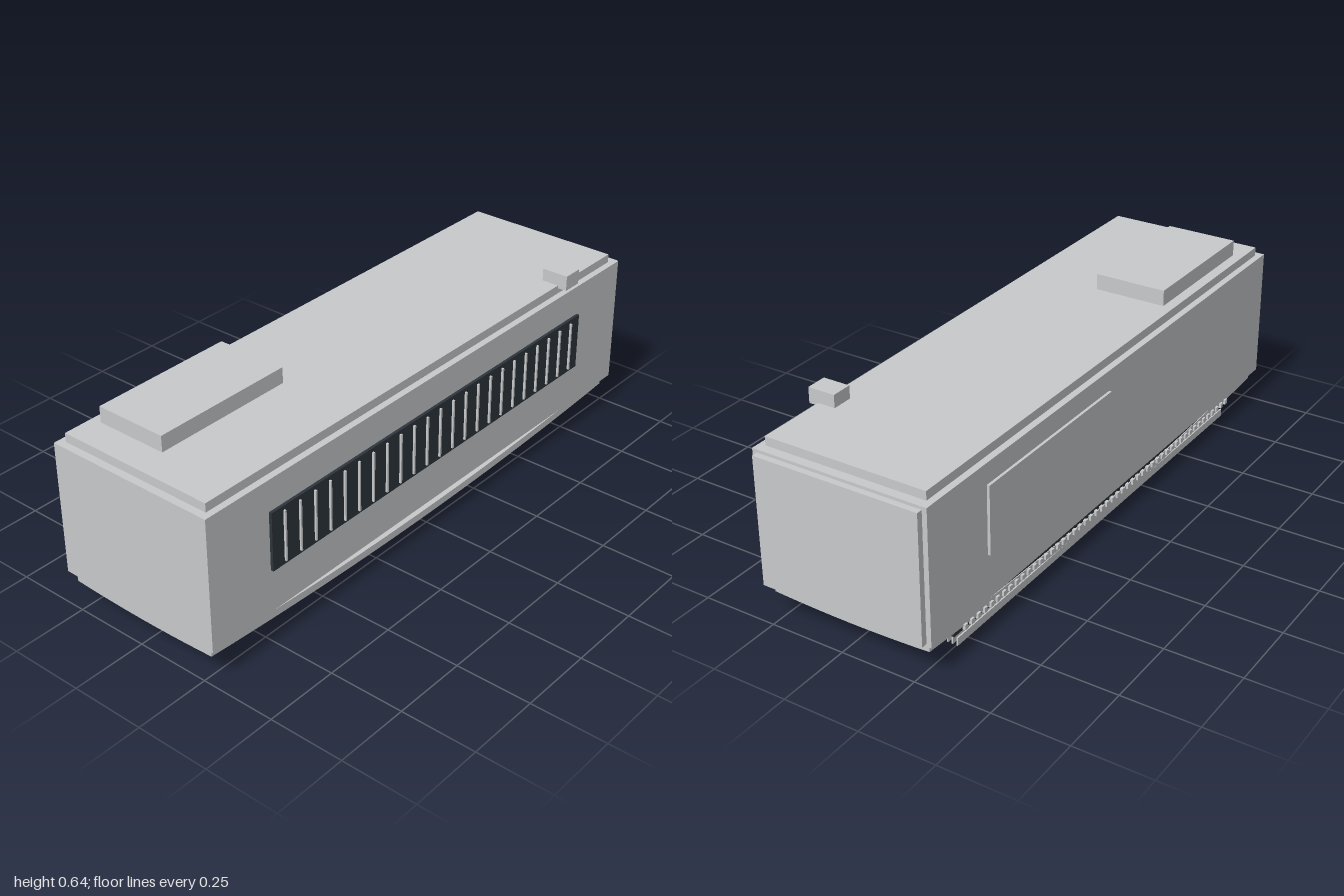
import * as THREE from 'three';

export function createModel() {
  const model = new THREE.Group();
  const casing = new THREE.MeshStandardMaterial({ color: 0xc8cacc });
  casing.name = 'light grey casing';
  const dark = new THREE.MeshStandardMaterial({ color: 0x2d353c });
  dark.name = 'dark slate';

  // Box given by its minimum and maximum on each axis
  function box(name, material, [x0, x1], [y0, y1], [z0, z1], parent = model) {
    const mesh = new THREE.Mesh(new THREE.BoxGeometry(x1 - x0, y1 - y0, z1 - z0), material);
    mesh.position.set((x0 + x1) / 2, (y0 + y1) / 2, (z0 + z1) / 2);
    mesh.name = name;
    parent.add(mesh);
    return mesh;
  }
  function group(name) {
    const g = new THREE.Group();
    g.name = name;
    model.add(g);
    return g;
  }

  // Cabinet, end cover, lid and the boxes on top
  box('cabinet', casing, [-1, 0.98], [0.118, 0.56], [-0.297, 0.29]);
  box('endCover', casing, [0.98, 1], [0.127, 0.55], [-0.281, 0.274]);
  box('lid', casing, [-0.975, 0.95], [0.56, 0.589], [-0.275, 0.268]);
  box('electricalBox', casing, [-0.873, -0.383], [0.589, 0.642], [-0.24, 0.005]);
  box('mountingBlock', casing, [0.65, 0.72], [0.58, 0.631], [0.208, 0.3]);
  box('rearAccessPanel', casing, [0.05, 0.705], [0.267, 0.492], [-0.306, -0.297]);

  // Intake grille with upright fins
  const grille = group('frontGrille');
  box('grilleBack', dark, [-0.76, 0.74], [0.262, 0.457], [0.29, 0.3], grille);
  for (let i = 0; i < 23; i++) {
    const x = -0.71 + i * 0.0636;
    box('grilleFin', casing, [x - 0.003, x + 0.003], [0.274, 0.444], [0.3, 0.307], grille);
  }

  // Bottom panel, bowed downwards along both directions
  const panelShape = new THREE.BoxGeometry(1.945, 0.025, 0.543, 32, 1, 10);
  const p = panelShape.attributes.position;
  for (let i = 0; i < p.count; i++) {
    const u = p.getX(i) / 0.9725, v = p.getZ(i) / 0.2715;
    p.setY(i, p.getY(i) + 0.0525 + 0.037 * u * u + 0.008 * v * v);
  }
  panelShape.computeVertexNormals();
  const panel = new THREE.Mesh(panelShape, casing);
  panel.position.set(-0.0125, 0, -0.0035);
  panel.name = 'bottomPanel';
  model.add(panel);

  // Air outlet with cross vanes and a row of rear teeth
  const outlet = group('airOutlet');
  box('outletDuct', dark, [-0.84, 0.84], [0.06, 0.1], [-0.272, -0.165], outlet);
  for (let i = 0; i < 50; i++) {
    const x = -0.8 + i * 0.0325;
    box('outletVane', casing, [x - 0.003, x + 0.003], [0.043, 0.06], [-0.253, -0.178], outlet);
    box('rearTooth', casing, [x - 0.007, x + 0.007], [0.063, 0.08], [-0.282, -0.27], outlet);
  }

  // Long louvres under the outlet and their end knob
  const louvres = group('louvres');
  for (let i = 0; i < 9; i++) {
    const z = -0.12 - i * 0.0166;
    box('louvre', casing, [-0.82, 0.8], [0, 0.026], [z - 0.0025, z + 0.0025], louvres);
  }
  const knob = new THREE.Mesh(new THREE.CylinderGeometry(0.013, 0.013, 0.03, 20), casing);
  knob.rotation.z = Math.PI / 2;
  knob.position.set(0.815, 0.013, -0.176);
  knob.name = 'louvreKnob';
  louvres.add(knob);

  // Control strip with push buttons
  const controls = group('controls');
  box('controlStrip', dark, [0.62, 0.84], [0.043, 0.055], [0.101, 0.167], controls);
  for (let i = 0; i < 4; i++) {
    const x = 0.655 + i * 0.05;
    box('button', casing, [x - 0.012, x + 0.012], [0.038, 0.043], [0.13, 0.154], controls);
  }
  return model;
}
